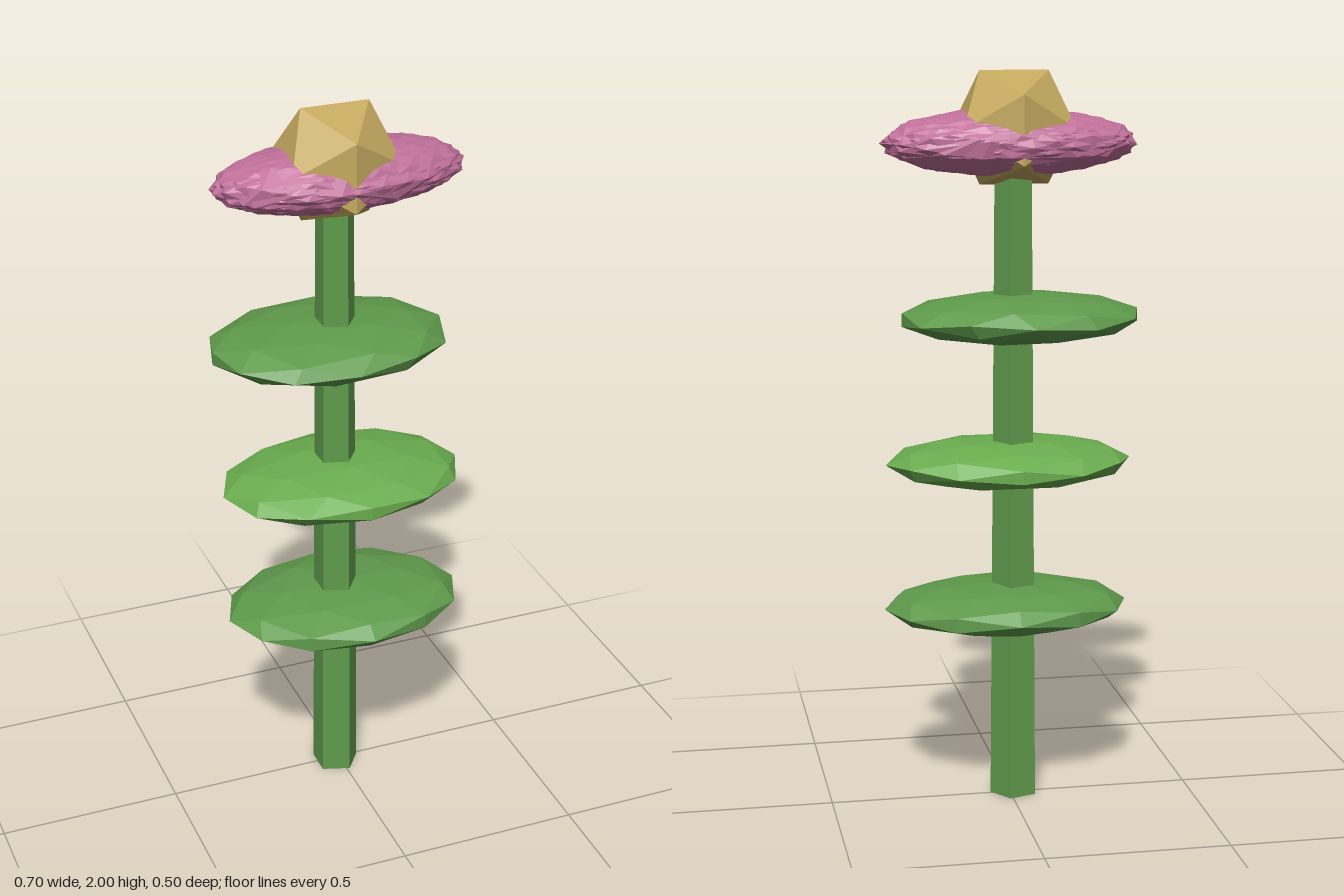
import * as THREE from 'three';
import { mergeGeometries } from 'three/addons/utils/BufferGeometryUtils.js';

const CX = -0.012, CZ = 0.005; // stem axis

const material = (color) => new THREE.MeshStandardMaterial({ color, flatShading: true });

function addMesh(group, name, geometry, mat) {
  const mesh = new THREE.Mesh(geometry, mat);
  mesh.name = name;
  group.add(mesh);
  return mesh;
}

// Faceted ball, turned first and then squashed to the given radii
function facetedEllipsoid([rx, ry, rz], [ax, ay, az] = [0, 0, 0]) {
  return new THREE.IcosahedronGeometry(1, 1)
    .rotateX(ax).rotateY(ay).rotateZ(az)
    .scale(rx, ry, rz);
}

export function createModel() {
  const group = new THREE.Group();
  group.name = 'flower';

  // Five-sided tapering stem
  const stem = new THREE.CylinderGeometry(0.052, 0.066, 1.8, 5).rotateY(Math.PI / 2);
  addMesh(group, 'stem', stem, material(0x5f9a4c)).position.set(CX, 0.9, CZ);

  // Three flattened leaf tiers
  const leaves = [
    { at: [0.01, 0.545, 0.007], radii: [0.336, 0.065, 0.243], turn: [0, 0, 0], color: 0x5f9a4c },
    { at: [0.0, 0.945, 0.02], radii: [0.338, 0.065, 0.238], turn: [0.277, 0, 0], color: 0x6aad4f },
    { at: [-0.027, 1.345, -0.01], radii: [0.334, 0.067, 0.243], turn: [Math.PI / 2, 0, 0.277], color: 0x5f9a4c },
  ];
  leaves.forEach(({ at, radii, turn, color }, i) => {
    addMesh(group, `leafTier${i + 1}`, facetedEllipsoid(radii, turn), material(color)).position.set(...at);
  });

  // Spiky bloom: overlapping faceted ellipsoids, each turned and shifted a little
  const petals = [];
  const count = 12;
  for (let i = 0; i < count; i++) {
    const a = (i / count) * Math.PI * 2;
    const petal = facetedEllipsoid([0.336, 0.087, 0.154], [a, i * 0.13, i * 0.07]);
    petals.push(petal.translate(0.013 * Math.cos(a), 0.004 * Math.sin(a), 0.006 * Math.sin(a)));
  }
  addMesh(group, 'petals', mergeGeometries(petals), material(0xc0709a)).position.set(0, 1.812, 0.002);

  // Faceted flower centre
  const centre = new THREE.IcosahedronGeometry(0.1763, 0);
  addMesh(group, 'flowerCentre', centre, material(0xc4a95f)).position.set(CX, 1.85, CZ);

  return group;
}
